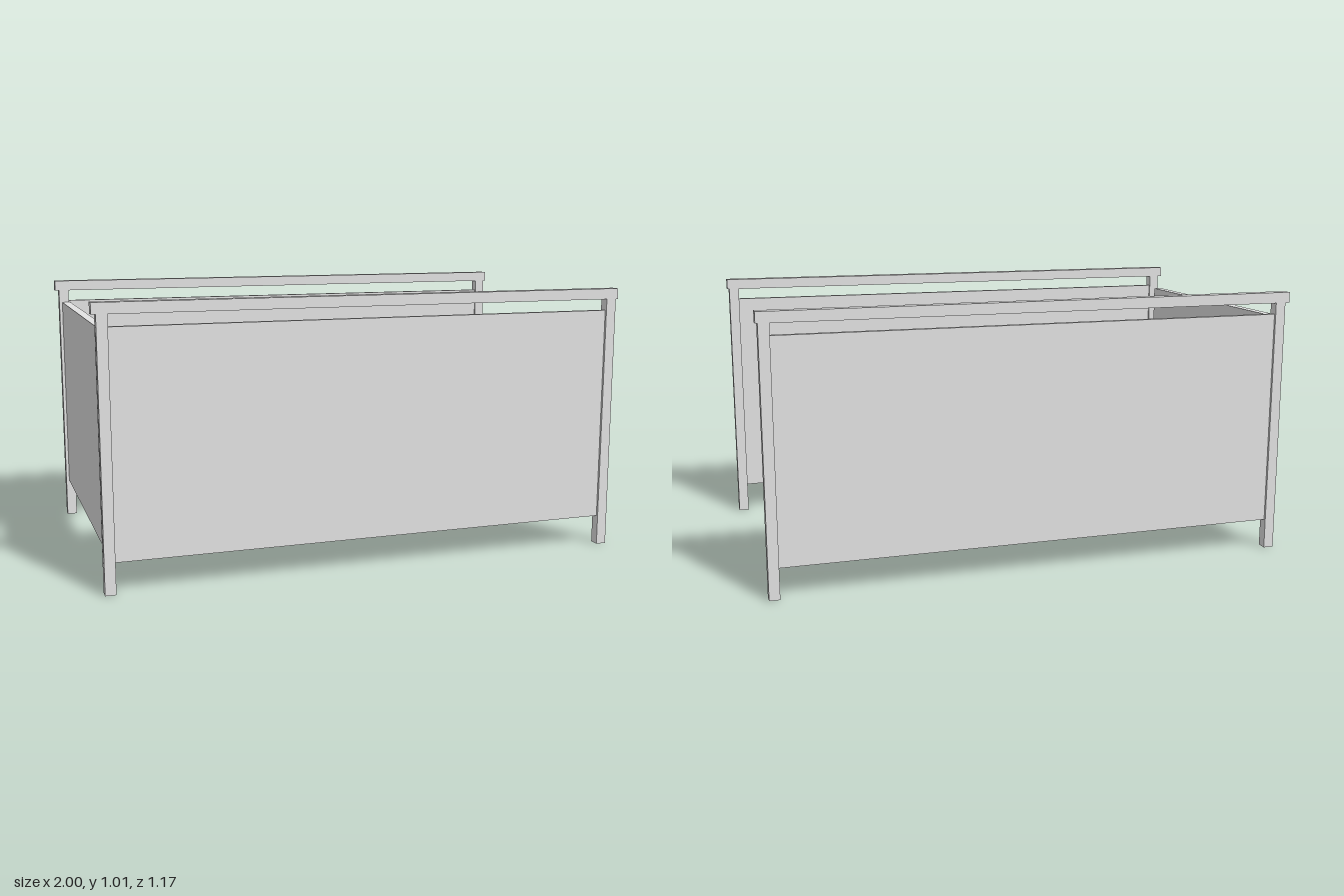
import * as THREE from 'three';

const grey = new THREE.MeshStandardMaterial({ color: 0xe3e3e3 });
grey.name = 'lightGrey';

// Box given by its minimum and maximum corners
function box(name, [x0, y0, z0], [x1, y1, z1]) {
  const mesh = new THREE.Mesh(new THREE.BoxGeometry(x1 - x0, y1 - y0, z1 - z0), grey);
  mesh.position.set((x0 + x1) / 2, (y0 + y1) / 2, (z0 + z1) / 2);
  mesh.name = name;
  return mesh;
}

// One long barrier: two posts, a top rail and a recessed panel
function createBarrier(name, z) {
  const barrier = new THREE.Group();
  barrier.name = name;
  barrier.position.z = z;
  const h = 0.02, p = 0.019;
  barrier.add(
    box('rightPost', [-0.984, 0, -p], [-0.945, 0.97, p]),
    box('leftPost', [0.953, 0, -p], [0.992, 0.97, p]),
    box('topRail', [-1, 0.97, -h], [1, 1.01, h]),
    box('longPanel', [-0.985, 0.113, -0.01], [0.96, 0.927, 0.01]),
  );
  return barrier;
}

export function createModel() {
  const model = new THREE.Group();
  model.name = 'panelEnclosure';
  model.add(createBarrier('frontBarrier', 0.563), createBarrier('backBarrier', -0.563));
  // Single end panel, stopping short of the front barrier
  model.add(box('endPanel', [-0.972, 0.148, -0.546], [-0.939, 0.92, 0.48]));
  return model;
}
